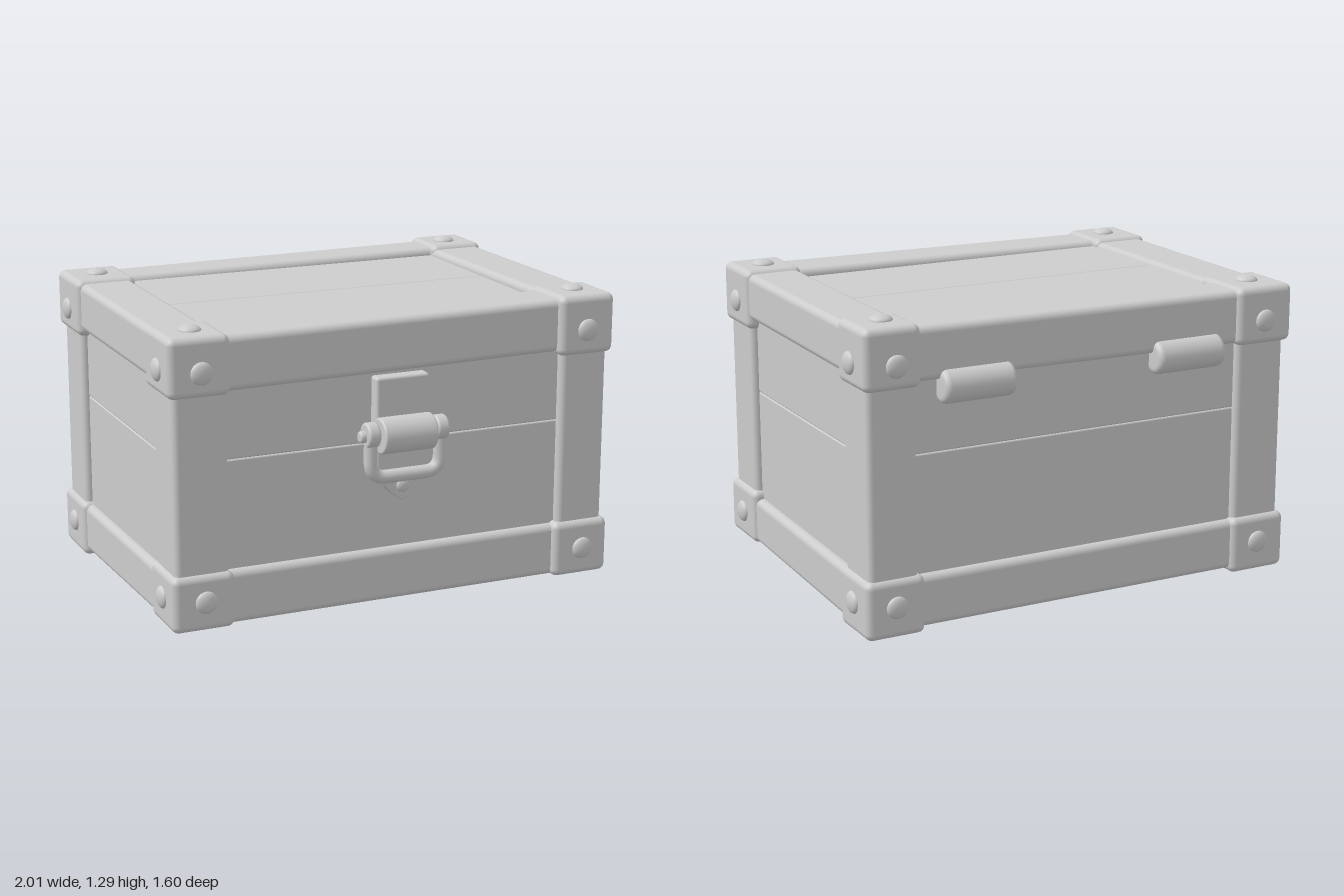
import * as THREE from 'three';
import { RoundedBoxGeometry } from 'three/addons/geometries/RoundedBoxGeometry.js';

export function createModel() {
  const chest = new THREE.Group();
  chest.name = 'chest';
  const grey = new THREE.MeshStandardMaterial({ color: 0xcccccc });
  grey.name = 'plain grey';

  const add = (name, geometry, parent = chest) => {
    const mesh = new THREE.Mesh(geometry, grey);
    mesh.name = name;
    parent.add(mesh);
    return mesh;
  };

  // Rounded block given by its limits on each axis
  const block = (name, x0, x1, y0, y1, z0, z1, r = 0.025, parent = chest) => {
    const mesh = add(name, new RoundedBoxGeometry(x1 - x0, y1 - y0, z1 - z0, 3, r), parent);
    mesh.position.set((x0 + x1) / 2, (y0 + y1) / 2, (z0 + z1) / 2);
    return mesh;
  };

  // Rounded bar along one axis whose cross-section [u0, u1, v0, v1] shifts from end a to end b
  const bar = (name, axis, a, b, A, B, r = 0.03) => {
    const [u, v] = ['x', 'y', 'z'].filter((k) => k !== axis);
    const mid = A.map((n, i) => (n + B[i]) / 2);
    const size = { [axis]: b - a, [u]: mid[1] - mid[0], [v]: mid[3] - mid[2] };
    const geo = new RoundedBoxGeometry(size.x, size.y, size.z, 3, r);
    const pos = geo.attributes.position;
    const p = new THREE.Vector3();
    const lerp = THREE.MathUtils.lerp;
    for (let i = 0; i < pos.count; i++) {
      p.fromBufferAttribute(pos, i);
      const t = p[axis] / size[axis] + 0.5;
      const s = A.map((n, k) => lerp(n, B[k], t));
      p[u] = lerp(s[0], s[1], p[u] / size[u] + 0.5);
      p[v] = lerp(s[2], s[3], p[v] / size[v] + 0.5);
      p[axis] = lerp(a, b, t);
      pos.setXYZ(i, p.x, p.y, p.z);
    }
    return add(name, geo);
  };

  // Domed rivet pointing along a direction
  const rivet = (x, y, z, dir, r = 0.047, h = 0.022, parent = chest) => {
    const geo = new THREE.SphereGeometry(r, 24, 8, 0, Math.PI * 2, 0, Math.PI / 2);
    geo.scale(1, h / r, 1);
    const mesh = add('rivet', geo, parent);
    mesh.position.set(x, y, z);
    mesh.quaternion.setFromUnitVectors(new THREE.Vector3(0, 1, 0), new THREE.Vector3(...dir));
  };

  // Corner caps: limits, then rivet centre
  const corners = [
    [-0.985, -0.725, 1.005, 1.25, 0.41, 0.7, -0.848, 1.105, 0.567],
    [0.73, 0.985, 1.013, 1.267, 0.435, 0.71, 0.858, 1.12, 0.567],
    [-0.985, -0.717, 1.005, 1.25, -0.765, -0.465, -0.85, 1.105, -0.615],
    [0.737, 0.982, 1.013, 1.265, -0.757, -0.497, 0.845, 1.11, -0.615],
    [-0.985, -0.72, 0.045, 0.28, 0.43, 0.705, -0.845, 0.167, 0.57],
    [0.725, 0.985, 0.045, 0.285, 0.437, 0.712, 0.862, 0.163, 0.57],
    [-0.985, -0.72, 0, 0.245, -0.76, -0.48, -0.85, 0.13, -0.615],
    [0.728, 0.985, 0, 0.245, -0.755, -0.485, 0.855, 0.13, -0.615],
  ];
  for (const [x0, x1, y0, y1, z0, z1, rx, ry, rz] of corners) {
    block('cornerCap', x0, x1, y0, y1, z0, z1, 0.03);
    rivet(rx, ry, rz > 0 ? z1 : z0, [0, 0, Math.sign(rz)]);
    rivet(rx > 0 ? x1 : x0, ry, rz, [Math.sign(rx), 0, 0]);
    if (ry > 0.6) rivet(rx, y1, rz, [0, 1, 0]);
  }

  // Upright posts
  block('post', -0.965, -0.735, 0.15, 1.12, 0.45, 0.682);
  block('post', 0.75, 0.965, 0.15, 1.12, 0.455, 0.688);
  block('post', -0.965, -0.735, 0.15, 1.12, -0.735, -0.5);
  block('post', 0.75, 0.965, 0.15, 1.12, -0.735, -0.505);

  // Long beams, front and back
  bar('topFrontBeam', 'x', -0.8, 0.8, [1.012, 1.238, 0.45, 0.68], [1.03, 1.252, 0.45, 0.68]);
  bar('topBackBeam', 'x', -0.8, 0.8, [1.012, 1.238, -0.742, -0.533], [1.03, 1.25, -0.742, -0.533]);
  bar('bottomFrontBeam', 'x', -0.8, 0.8, [0.05, 0.275, 0.45, 0.685], [0.05, 0.275, 0.45, 0.685]);
  bar('bottomBackBeam', 'x', -0.8, 0.8, [0.018, 0.235, -0.74, -0.53], [0.018, 0.235, -0.74, -0.53]);

  // Side beams, running back to front
  bar('topLeftBeam', 'z', -0.6, 0.6, [0.737, 0.975, 1.045, 1.247], [0.737, 0.975, 1.057, 1.255]);
  bar('topRightBeam', 'z', -0.6, 0.6, [-0.97, -0.73, 1.03, 1.237], [-0.97, -0.73, 1.03, 1.237]);
  bar('bottomLeftBeam', 'z', -0.6, 0.6, [0.735, 0.972, 0.017, 0.232], [0.735, 0.972, 0.052, 0.252]);
  bar('bottomRightBeam', 'z', -0.6, 0.6, [-0.97, -0.735, 0.017, 0.232], [-0.97, -0.735, 0.052, 0.252]);

  // Planks: two per face, meeting at a groove
  for (const [y0, y1] of [[0.15, 0.73], [0.73, 1.15]]) {
    block('frontPlank', -0.85, 0.85, y0, y1, 0.58, 0.652, 0.008);
    block('backPlank', -0.85, 0.85, y0, y1, -0.705, -0.63, 0.008);
    block('leftPlank', 0.86, 0.937, y0, y1, -0.62, 0.58, 0.008);
    block('rightPlank', -0.937, -0.86, y0, y1, -0.62, 0.58, 0.008);
  }
  for (const [z0, z1] of [[-0.65, -0.028], [-0.028, 0.6]]) {
    block('lidPlank', -0.85, 0.85, 1.14, 1.218, z0, z1, 0.008);
    const low = (z) => 0.052 + z * 0.027;
    bar('floorPlank', 'z', z0, z1, [-0.85, 0.85, low(z0), low(z0) + 0.08],
      [-0.85, 0.85, low(z1), low(z1) + 0.08], 0.008);
  }

  // Capsule-like cylinder along x with softened ends
  const roller = (name, x0, x1, y, z, r, bevel, parent) => {
    const h = (x1 - x0) / 2;
    const pts = [new THREE.Vector2(0, -h)];
    for (let i = 0; i <= 10; i++) {
      const a = ((i % 5.5 | 0) / 5 + (i > 5 ? 1 : 0)) * Math.PI / 2 - Math.PI / 2;
      const k = i > 5 ? Math.PI / 2 * (i - 6) / 4 : a;
      const side = i > 5 ? 1 : -1;
      pts.push(new THREE.Vector2(r - bevel + bevel * Math.cos(k), side * (h - bevel) + bevel * Math.sin(k)));
    }
    pts.push(new THREE.Vector2(0, h));
    const mesh = add(name, new THREE.LatheGeometry(pts, 32), parent);
    mesh.rotation.z = -Math.PI / 2;
    mesh.position.set((x0 + x1) / 2, y, z);
  };

  // Hinges
  roller('hinge', -0.64, -0.318, 1.0, -0.73, 0.07, 0.025);
  roller('hinge', 0.335, 0.652, 1.0, -0.73, 0.07, 0.025);

  // Latch
  const latch = new THREE.Group();
  latch.name = 'latch';
  chest.add(latch);
  const cx = 0.012;
  block('strap', cx - 0.118, cx + 0.118, 0.61, 1.01, 0.64, 0.706, 0.012, latch);
  roller('latchRoll', cx - 0.118, cx + 0.118, 0.775, 0.725, 0.075, 0.01, latch);
  roller('pin', cx - 0.205, cx + 0.19, 0.78, 0.725, 0.025, 0.01, latch);
  for (const s of [-1, 1]) {
    const x = cx + s * 0.153;
    roller('pivot', x - 0.027, x + 0.027, 0.785, 0.726, 0.052, 0.012, latch);
  }

  // Pointed back plate
  const shield = new THREE.Shape();
  shield.moveTo(-0.118, 0.7);
  shield.lineTo(-0.11, 0.6);
  shield.quadraticCurveTo(-0.08, 0.52, 0, 0.475);
  shield.quadraticCurveTo(0.08, 0.52, 0.11, 0.6);
  shield.lineTo(0.118, 0.7);
  const plate = add('latchPlate', new THREE.ExtrudeGeometry(shield, {
    depth: 0.035, bevelEnabled: true, bevelSize: 0.005, bevelThickness: 0.005, bevelOffset: -0.005, bevelSegments: 2,
  }), latch);
  plate.position.set(cx + 0.012, 0, 0.645);
  rivet(cx + 0.012, 0.543, 0.685, [0, 0, 1], 0.03, 0.014, latch);

  // Swinging bail
  const bail = new THREE.CurvePath();
  const V = (x, y) => new THREE.Vector3(cx + x, y, 0.728);
  bail.add(new THREE.LineCurve3(V(-0.155, 0.785), V(-0.155, 0.67)));
  bail.add(new THREE.QuadraticBezierCurve3(V(-0.155, 0.67), V(-0.155, 0.603), V(-0.088, 0.603)));
  bail.add(new THREE.LineCurve3(V(-0.088, 0.603), V(0.088, 0.603)));
  bail.add(new THREE.QuadraticBezierCurve3(V(0.088, 0.603), V(0.155, 0.603), V(0.155, 0.67)));
  bail.add(new THREE.LineCurve3(V(0.155, 0.67), V(0.155, 0.785)));
  add('bail', new THREE.TubeGeometry(bail, 48, 0.028, 14, false), latch);

  return chest;
}
